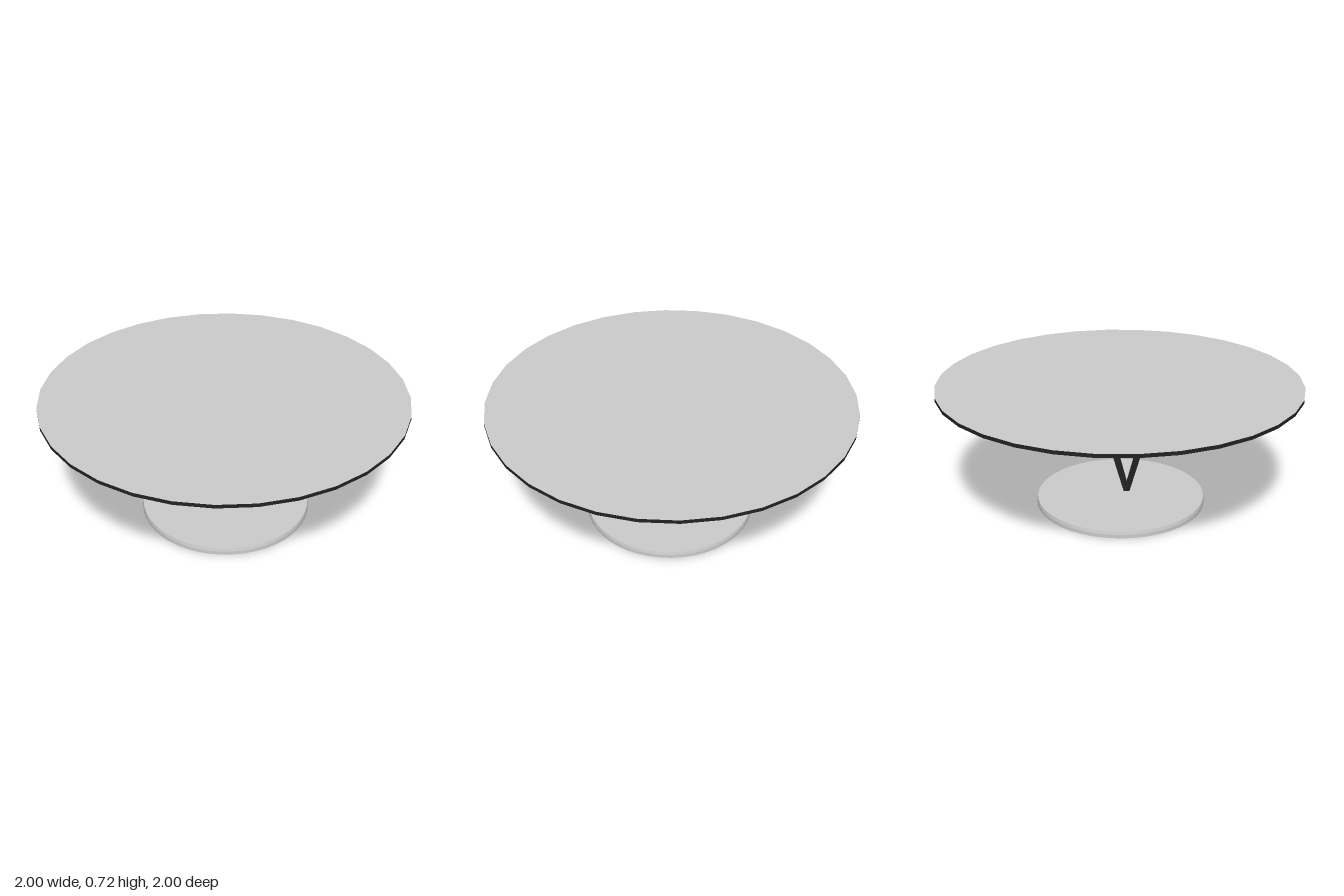
import * as THREE from 'three';

const grey = new THREE.MeshStandardMaterial({ color: 0xcccccc });
const black = new THREE.MeshStandardMaterial({ color: 0x222222 });

// Thin tapered strip with level ends, leaning from a bottom to a top position
function makeLeg(bottom, top, thickness, bottomWidth, topWidth) {
  const geometry = new THREE.BoxGeometry(1, 1, 1);
  const p = geometry.attributes.position;
  for (let i = 0; i < p.count; i++) {
    const t = p.getY(i) + 0.5;
    const centre = new THREE.Vector3().lerpVectors(bottom, top, t);
    const width = THREE.MathUtils.lerp(bottomWidth, topWidth, t);
    p.setXYZ(i, centre.x + p.getX(i) * thickness, centre.y, centre.z + p.getZ(i) * width);
  }
  geometry.computeVertexNormals();
  return new THREE.Mesh(geometry, black);
}

export function createModel() {
  const model = new THREE.Group();
  model.name = 'pedestalTable';

  // Round top with a dark edge
  const top = new THREE.Mesh(
    new THREE.CylinderGeometry(1, 1, 0.02, 32, 1, false, -0.05),
    [black, grey, grey]
  );
  top.name = 'tableTop';
  top.position.y = 0.71;
  model.add(top);

  // Round foot plate with a slightly bevelled upper rim
  const base = new THREE.Group();
  base.name = 'base';
  const rim = new THREE.Mesh(new THREE.CylinderGeometry(0.477, 0.477, 0.02, 48), grey);
  rim.name = 'baseRim';
  rim.position.y = 0.01;
  const bevel = new THREE.Mesh(new THREE.CylinderGeometry(0.473, 0.477, 0.018, 48), grey);
  bevel.name = 'baseBevel';
  bevel.position.y = 0.029;
  base.add(rim, bevel);
  base.position.set(0.011, 0, 0.004);
  model.add(base);

  // Four flat strips spreading from one point on the base
  const legs = new THREE.Group();
  legs.name = 'legs';
  for (const sx of [-1, 1]) {
    for (const sz of [-1, 1]) {
      const leg = makeLeg(
        new THREE.Vector3(0.038 + sx * 0.002, 0.035, 0.037),
        new THREE.Vector3(0.038 + sx * 0.018, 0.69, 0.037 + sz * 0.178),
        0.009, 0.032, 0.047
      );
      leg.name = (sz > 0 ? 'front' : 'back') + (sx > 0 ? 'Left' : 'Right') + 'Leg';
      legs.add(leg);
    }
  }
  model.add(legs);

  return model;
}
